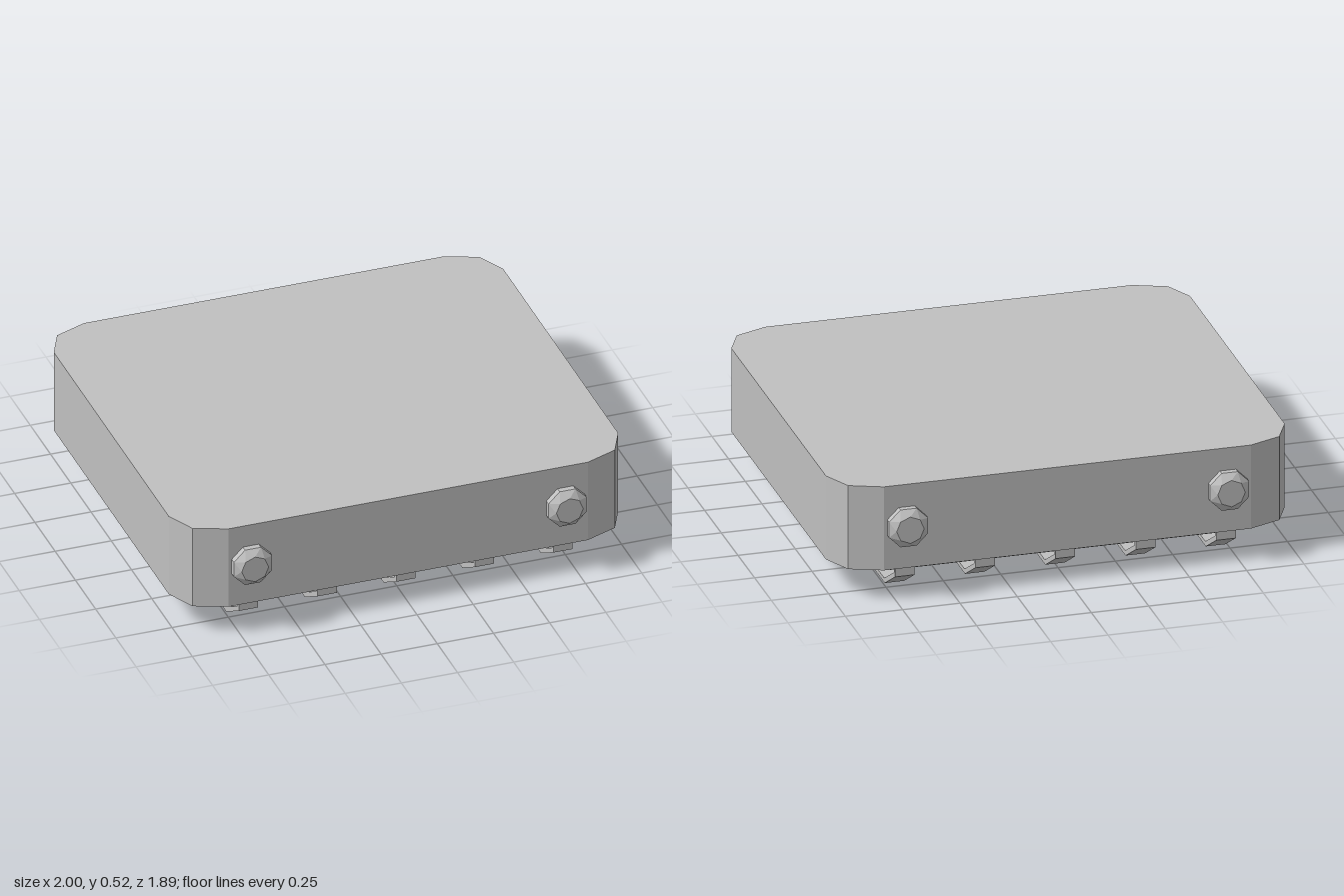
import * as THREE from 'three';

const grey = new THREE.MeshStandardMaterial({ color: 0xc0c0c0, flatShading: true });
grey.name = 'light grey';

// Rectangle outline with corners cut in two facets: [x, z] points for one quadrant, mirrored to all four
function cutCornerRing(corner) {
  const mirror = (sx, sz) => corner.map(([x, z]) => [x * sx, z * sz]);
  return [
    ...mirror(1, 1),
    ...mirror(-1, 1).reverse(),
    ...mirror(-1, -1),
    ...mirror(1, -1).reverse(),
  ];
}

// Closed solid joining horizontal rings, listed from bottom to top
function loft(levels) {
  const pos = [];
  const rings = levels.map(({ y, corner }) => cutCornerRing(corner).map(([x, z]) => [x, y, z]));
  const tri = (a, b, c) => pos.push(...a, ...b, ...c);
  const n = rings[0].length;
  for (let r = 0; r < rings.length - 1; r++) {
    const lo = rings[r], hi = rings[r + 1];
    for (let i = 0; i < n; i++) {
      const j = (i + 1) % n;
      tri(lo[i], hi[i], lo[j]);
      tri(lo[j], hi[i], hi[j]);
    }
  }
  const bottom = rings[0], top = rings[rings.length - 1];
  for (let i = 1; i < n - 1; i++) {
    tri(bottom[0], bottom[i], bottom[i + 1]);
    tri(top[0], top[i + 1], top[i]);
  }
  const geometry = new THREE.BufferGeometry();
  geometry.setAttribute('position', new THREE.Float32BufferAttribute(pos, 3));
  geometry.computeVertexNormals();
  return geometry;
}

// Eight-sided bolt head along +z, its bevel twisted half a step to a smaller face
function boltGeometry() {
  const n = 8, pos = [];
  const ring = (radius, z, turn) => Array.from({ length: n }, (_, i) => {
    const a = ((i + turn) / n) * Math.PI * 2;
    return [Math.cos(a) * radius, Math.sin(a) * radius, z];
  });
  const base = ring(0.092, -0.01, 0.5), rim = ring(0.092, 0.027, 0.5), face = ring(0.06, 0.055, 0);
  const tri = (a, b, c) => pos.push(...a, ...b, ...c);
  for (let i = 0; i < n; i++) {
    const j = (i + 1) % n;
    tri(base[i], base[j], rim[j]);
    tri(base[i], rim[j], rim[i]);
    tri(rim[i], rim[j], face[j]);
    tri(face[i], rim[i], face[j]);
    tri([0, 0, 0.055], face[i], face[j]);
  }
  const geometry = new THREE.BufferGeometry();
  geometry.setAttribute('position', new THREE.Float32BufferAttribute(pos, 3));
  geometry.computeVertexNormals();
  return geometry;
}

// Thin bent band: profile in (z, y), extruded across x
function strapGeometry(width) {
  const half = [[0.862, 0.145], [0.862, 0.092], [0.705, 0]];
  const inner = [[0.698, 0.02], [0.842, 0.104], [0.842, 0.145]];
  const flip = (pts) => pts.map(([z, y]) => [-z, y]).reverse();
  const outline = [...half, ...flip(half), ...flip(inner), ...inner];
  const shape = new THREE.Shape(outline.map(([z, y]) => new THREE.Vector2(z, y)));
  const geometry = new THREE.ExtrudeGeometry(shape, { depth: width, bevelEnabled: false });
  geometry.translate(0, 0, -width / 2);
  geometry.rotateY(-Math.PI / 2);
  return geometry;
}

export function createModel() {
  const model = new THREE.Group();
  model.name = 'trayBlock';
  const add = (name, geometry) => {
    const mesh = new THREE.Mesh(geometry, grey);
    mesh.name = name;
    model.add(mesh);
    return mesh;
  };

  // Main slab
  const slab = [[1, 0.71], [0.94, 0.835], [0.8, 0.89]];
  add('body', loft([{ y: 0.14, corner: slab }, { y: 0.52, corner: slab }]));

  // Tapered pan underneath
  const pan = [[0.89, 0.68], [0.85, 0.745], [0.78, 0.78]];
  const panFloor = [[0.79, 0.62], [0.765, 0.665], [0.71, 0.69]];
  add('underPan', loft([
    { y: 0.05, corner: panFloor },
    { y: 0.1, corner: pan },
    { y: 0.145, corner: pan },
  ]));

  // Straps running front to back below the pan
  const strap = strapGeometry(0.085);
  for (let i = -2; i <= 2; i++) add('strap', strap).position.x = i * 0.35;

  // Bolts on the front and back
  const bolt = boltGeometry();
  for (const x of [-0.7, 0.7]) {
    add('frontBolt', bolt).position.set(x, 0.333, 0.89);
    const back = add('backBolt', bolt);
    back.position.set(x, 0.333, -0.89);
    back.rotation.y = Math.PI;
  }
  return model;
}
